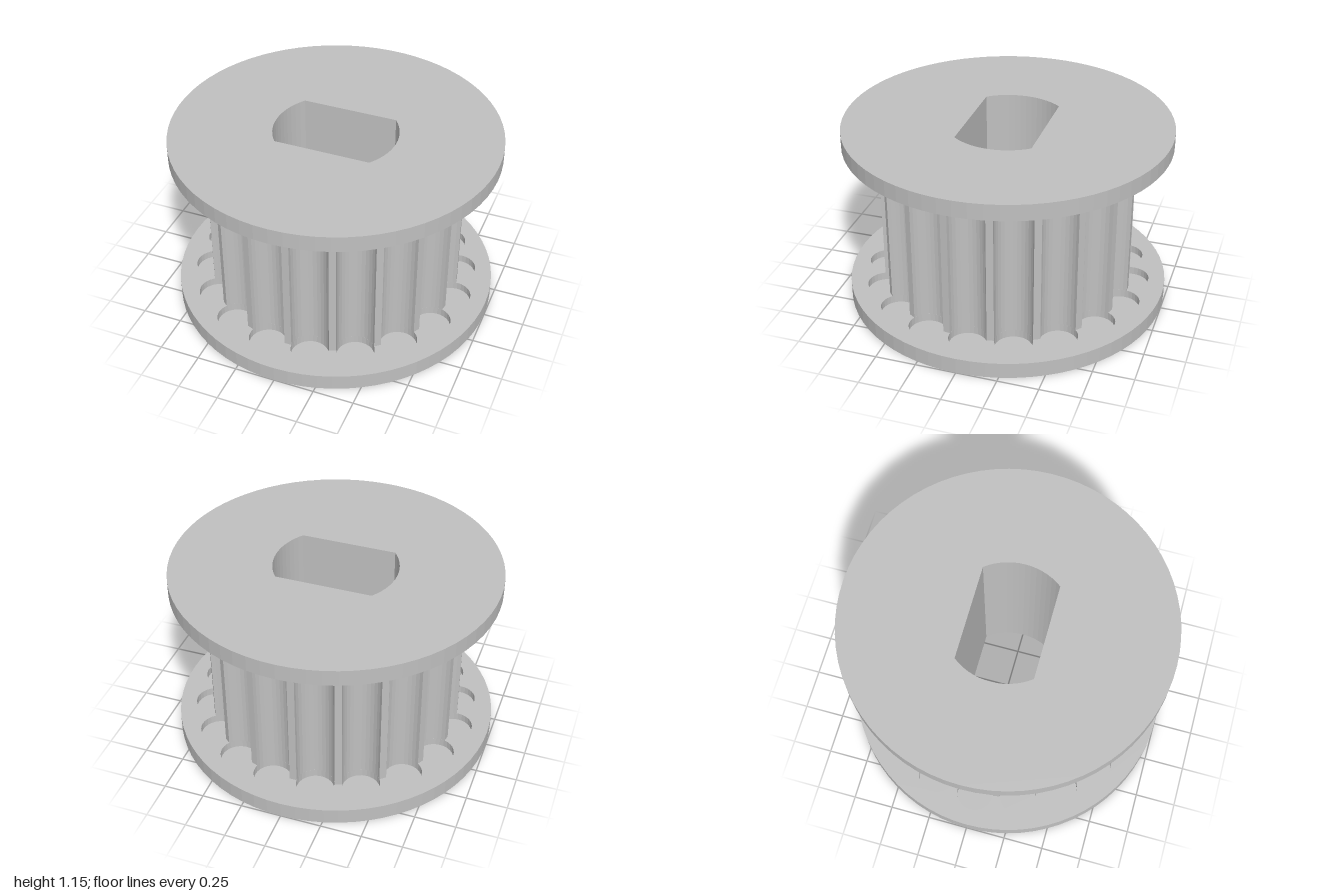
import * as THREE from 'three';

const TEETH = 18, HUB_R = 0.785, GROOVE_R = 0.115;
const FLANGE = 0.1, POCKET = 0.05, HEIGHT = 1.147;

// Points along an arc, from angle a to angle b
function arc(cx, cy, r, a, b, n) {
  return Array.from({ length: n + 1 }, (_, i) => {
    const t = a + (b - a) * i / n;
    return new THREE.Vector2(cx + r * Math.cos(t), cy + r * Math.sin(t));
  });
}

const circle = (cx, cy, r, n) => arc(cx, cy, r, 0, Math.PI * 2, n).slice(0, -1);

// Round shaft hole with two flats
function bore() {
  const t = Math.asin(0.235 / 0.378);
  return new THREE.Path([
    ...arc(0, 0, 0.378, -t, t, 14),
    ...arc(0, 0, 0.378, Math.PI - t, Math.PI + t, 14),
  ]);
}

// Hub outline: narrow lands between round concave grooves
function hubOutline() {
  const half = 2 * Math.asin(GROOVE_R / 2 / HUB_R);
  const points = [];
  for (let i = 0; i < TEETH; i++) {
    const a = i * Math.PI * 2 / TEETH;
    points.push(...arc(HUB_R * Math.cos(a), HUB_R * Math.sin(a), GROOVE_R,
      a + Math.PI * 1.5 - half / 2, a + Math.PI / 2 + half / 2, 14));
  }
  return points;
}

export function createModel() {
  const group = new THREE.Group();
  const grey = new THREE.MeshStandardMaterial({ color: 0xc0c0c0 });
  grey.name = 'grey';

  // Upright extrusion of an outline, with the bore and any extra holes cut out
  function layer(name, outline, y0, y1, holes = []) {
    const shape = new THREE.Shape(outline);
    shape.holes.push(bore(), ...holes);
    const geometry = new THREE.ExtrudeGeometry(shape, { depth: y1 - y0, bevelEnabled: false });
    geometry.rotateX(-Math.PI / 2).translate(0, y0, 0);
    const mesh = new THREE.Mesh(geometry, grey);
    mesh.name = name;
    group.add(mesh);
  }

  // Round pockets that continue the grooves into the flanges
  const pockets = Array.from({ length: TEETH }, (_, i) => {
    const a = i * Math.PI * 2 / TEETH;
    return new THREE.Path(circle(HUB_R * Math.cos(a), HUB_R * Math.sin(a), GROOVE_R, 28));
  });
  const disc = circle(0, 0, 1, 72);

  layer('bottomFlange', disc, 0, FLANGE - POCKET);
  layer('bottomFlangePockets', disc, FLANGE - POCKET, FLANGE, pockets);
  layer('groovedHub', hubOutline(), FLANGE, HEIGHT - FLANGE);
  layer('topFlangePockets', disc, HEIGHT - FLANGE, HEIGHT - FLANGE + POCKET, pockets);
  layer('topFlange', disc, HEIGHT - FLANGE + POCKET, HEIGHT);
  return group;
}
